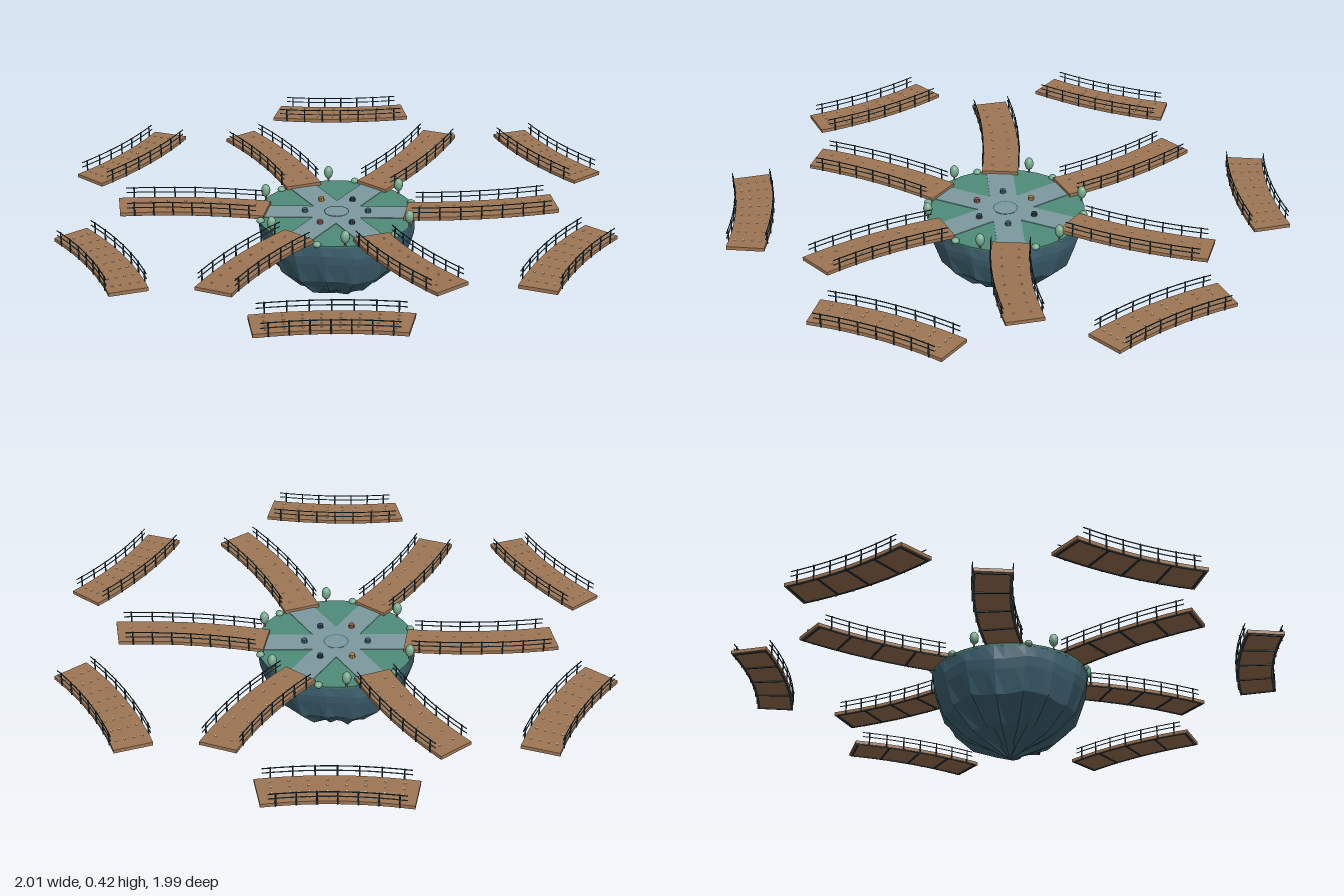
import * as THREE from 'three';
import { mergeGeometries } from 'three/addons/utils/BufferGeometryUtils.js';

const mat = (name, color, flat = true) => {
  const m = new THREE.MeshStandardMaterial({ color, flatShading: flat });
  m.name = name;
  return m;
};
const M = {
  rock: mat('slateRock', 0x416676),
  grass: mat('grassGreen', 0x4f8c79),
  path: mat('pathGrey', 0x7c9a9f),
  wood: mat('plankBrown', 0x9e7654),
  iron: mat('railDark', 0x263c44),
  nail: mat('nailPale', 0xd8ccb6),
  leaf: mat('leafGreen', 0x78aa8e, false),
  rust: mat('lampRust', 0x9a5a44),
  amber: mat('lampAmber', 0xb98445),
  navy: mat('lampNavy', 0x34495f),
};
const UP = new THREE.Vector3(0, 1, 0);
const TOP = 0.336;      // ground level of the island
const HALF = 0.068;     // half width of a bridge
const polar = (r, a, y) => new THREE.Vector3(r * Math.cos(a), y, -r * Math.sin(a));

function add(parent, name, geometry, material, pos) {
  const mesh = new THREE.Mesh(geometry, material);
  mesh.name = name;
  if (pos) mesh.position.copy(pos);
  parent.add(mesh);
  return mesh;
}

// small box placed at p, ready for merging with swept parts
function block(w, h, d, p) {
  const g = new THREE.BoxGeometry(w, h, d).toNonIndexed().translate(p.x, p.y, p.z);
  g.deleteAttribute('uv');
  return g;
}

// point on a bridge, moved sideways and upwards
function at(curve, t, side, up) {
  const s = curve.getTangent(t).cross(UP).setY(0).normalize();
  return curve.getPoint(t).addScaledVector(s, side).addScaledVector(UP, up);
}

// rectangle swept along part of a bridge
function sweep(curve, t0, t1, s0, s1, y0, y1, n = 10) {
  const pos = [], idx = [];
  for (let i = 0; i <= n; i++) {
    const t = t0 + (t1 - t0) * i / n;
    for (const [s, y] of [[s0, y0], [s1, y0], [s1, y1], [s0, y1]]) pos.push(...at(curve, t, s, y).toArray());
  }
  for (let i = 0; i < n; i++) for (let j = 0; j < 4; j++) {
    const a = i * 4 + j, b = i * 4 + (j + 1) % 4;
    idx.push(a, a + 4, b, b, a + 4, b + 4);
  }
  const e = n * 4;
  idx.push(0, 1, 2, 0, 2, 3, e, e + 2, e + 1, e, e + 3, e + 2);
  const g = new THREE.BufferGeometry();
  g.setAttribute('position', new THREE.Float32BufferAttribute(pos, 3));
  g.setIndex(idx);
  const flat = g.toNonIndexed();
  flat.computeVertexNormals();
  return flat;
}

// curved footbridge: deck, joists, nails and railings; the curve runs along the deck's top
function bridge(name, from, to, bow, nailColumns) {
  const g = new THREE.Group();
  g.name = name;
  const mid = from.clone().add(to).multiplyScalar(0.5).addScaledVector(bow, 2);
  const curve = new THREE.QuadraticBezierCurve3(from, mid, to);
  add(g, 'deck', sweep(curve, 0, 1, -HALF, HALF, -0.013, 0, 12), M.wood);

  const joists = [];
  for (let i = 0; i <= 4; i++) {
    const t = 0.02 + 0.24 * i;
    joists.push(sweep(curve, t - 0.006, t + 0.006, -0.062, 0.062, -0.016, -0.012, 1));
  }
  for (const s of [-1, 1]) joists.push(sweep(curve, 0.02, 0.98, s * 0.062 - 0.003, s * 0.062 + 0.003, -0.015, -0.012));
  add(g, 'joists', mergeGeometries(joists), M.iron);

  const nails = [];
  for (let i = 0; i < 8; i++) for (const s of nailColumns)
    nails.push(block(0.006, 0.002, 0.006, at(curve, 0.09 + i * 0.117, s, 0.001)));
  add(g, 'nails', mergeGeometries(nails), M.nail);

  const posts = [], topRails = [], lowRails = [];
  for (const s of [-1, 1]) {
    const x = s * (HALF + 0.001);
    for (let i = 0; i < 7; i++) posts.push(block(0.004, 0.054, 0.004, at(curve, 0.1 + i * 0.8 / 6, x, 0.014)));
    topRails.push(sweep(curve, 0.05, 0.95, x - 0.0014, x + 0.0014, 0.0366, 0.0394));
    lowRails.push(sweep(curve, 0.05, 0.95, x - 0.0014, x + 0.0014, 0.0186, 0.0214));
  }
  add(g, 'posts', mergeGeometries(posts), M.iron);
  add(g, 'topRails', mergeGeometries(topRails), M.iron);
  add(g, 'lowRails', mergeGeometries(lowRails), M.rock);
  return g;
}

// rock bowl with fluted, faceted sides
function rockGeometry() {
  const profile = [[0.001, 0.005], [0.055, 0.035], [0.155, 0.085], [0.245, 0.165], [0.278, 0.25], [0.288, 0.285], [0.29, TOP]];
  const g = new THREE.LatheGeometry(profile.map(([r, y]) => new THREE.Vector2(r, y)), 48);
  const p = g.attributes.position;
  for (let i = 0; i < p.count; i++) {
    const y = p.getY(i);
    if (y > 0.3 || y < 0.02) continue;
    const a = Math.atan2(p.getZ(i), p.getX(i));
    const k = 0.99 + (y < 0.1 ? 0.08 : 0.025) * Math.cos(a * 16) * (y > 0.2 ? 0.4 : 1);
    p.setXYZ(i, p.getX(i) * k, y + 0.008 * Math.sin(a * 6 + 1), p.getZ(i) * k);
  }
  g.computeVertexNormals();
  return g;
}

function tree(a) {
  const g = new THREE.Group();
  g.name = 'tree';
  g.position.copy(polar(0.288, a, TOP));
  add(g, 'trunk', new THREE.CylinderGeometry(0.003, 0.004, 0.025, 6).translate(0, 0.01, 0), M.wood);
  add(g, 'crown', new THREE.SphereGeometry(1, 10, 8).scale(0.017, 0.025, 0.017).translate(0, 0.037, 0), M.leaf);
  return g;
}

export function createModel() {
  const model = new THREE.Group();
  model.name = 'islandWithBridges';

  // island
  const island = new THREE.Group();
  island.name = 'island';
  model.add(island);
  add(island, 'rock', rockGeometry(), M.rock);
  add(island, 'lawn', new THREE.CylinderGeometry(0.292, 0.29, 0.008, 36), M.grass, new THREE.Vector3(0, TOP - 0.003, 0));
  for (let i = 0; i < 3; i++) {
    const strip = add(island, 'path', new THREE.BoxGeometry(0.57, 0.003, 0.1), M.path, new THREE.Vector3(0, TOP + 0.002, 0));
    strip.rotation.y = Math.PI / 6 + i * Math.PI / 3;
  }
  add(island, 'plaza', new THREE.CylinderGeometry(0.044, 0.044, 0.004, 24), M.path, new THREE.Vector3(0, TOP + 0.003, 0));
  add(island, 'plazaRing', new THREE.RingGeometry(0.042, 0.046, 32).rotateX(-Math.PI / 2), M.rock, new THREE.Vector3(0, TOP + 0.006, 0));

  // heights of the bridge ends and lamp colours, anticlockwise from the right rear
  const ends = [0.386, 0.375, 0.359, 0.358, 0.365, 0.384];
  const lamps = [M.rock, M.iron, M.amber, M.rock, M.rust, M.navy];
  for (let i = 0; i < 6; i++) {
    const a = Math.PI / 6 + i * Math.PI / 3;
    const clockwise = polar(0.021, a - Math.PI / 2, 0);
    model.add(bridge('spokeBridge', polar(0.255, a, 0.35), polar(0.798, a, ends[i]), clockwise, [-0.03, 0.03]));

    // outer bridge, bowed towards the centre
    const m = a + Math.PI / 6, h0 = ends[i], h1 = ends[(i + 1) % 6];
    const y = (t) => h0 + (h1 - h0) * t;
    model.add(bridge('ringBridge', polar(0.972, m - 0.272, y(0.2)), polar(0.972, m + 0.272, y(0.8)), polar(-0.024, m, 0), [-0.045, -0.016, 0.016, 0.045]));

    // bollard lamps on the paths, trees and low bushes along the rim
    add(island, 'lamp', new THREE.CylinderGeometry(0.01, 0.012, 0.016, 10), lamps[i], polar(0.116, a, TOP + 0.008));
    island.add(tree(m + 0.125));
    add(island, 'bush', new THREE.SphereGeometry(1, 10, 8).scale(0.015, 0.012, 0.015), M.leaf, polar(0.288, m - 0.225, TOP + 0.004));
  }
  return model;
}
